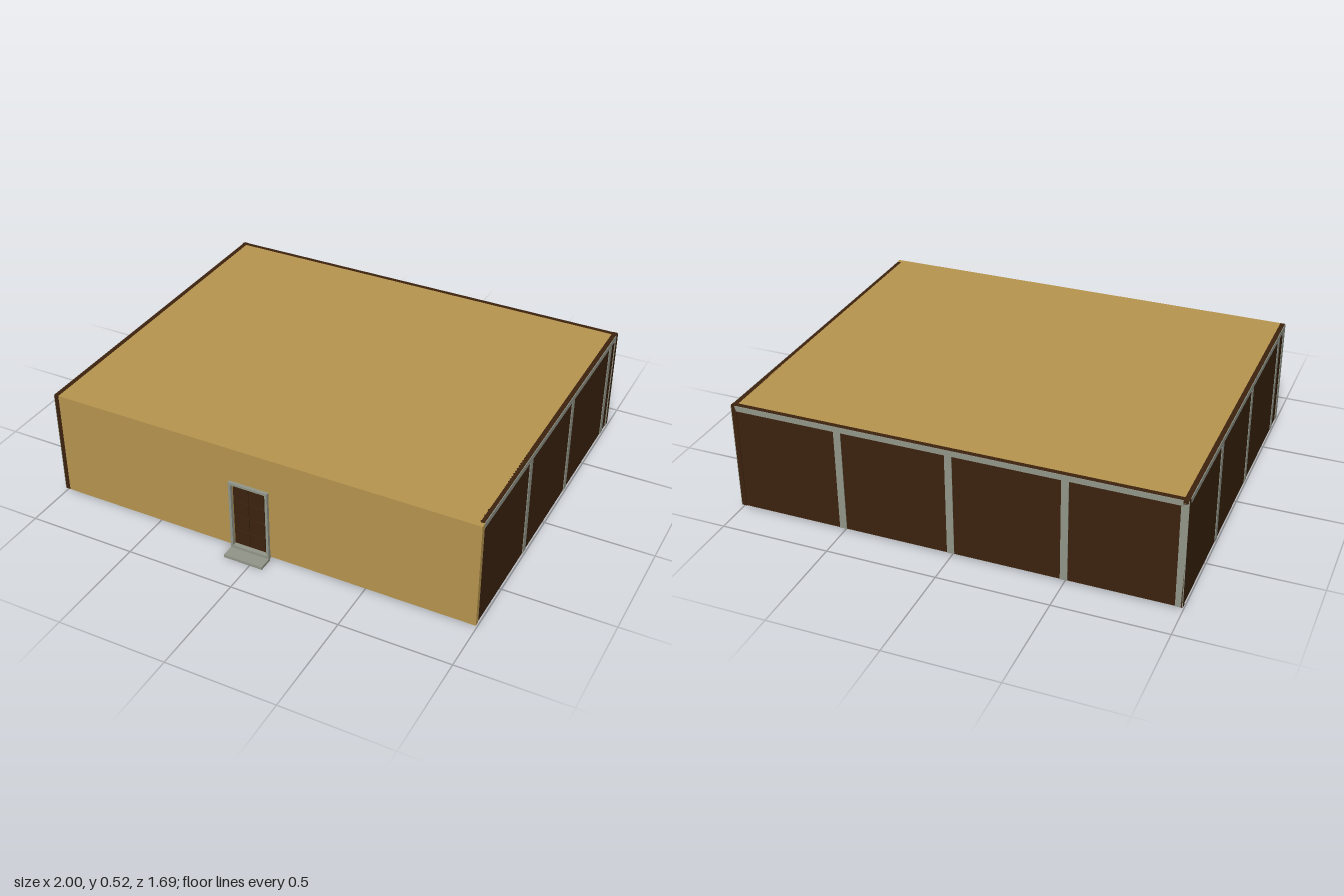
import * as THREE from 'three';

const tan = new THREE.MeshStandardMaterial({ name: 'tan plaster', color: 0xb8954f });
const brown = new THREE.MeshStandardMaterial({ name: 'dark brown wood', color: 0x3c220e });
const grey = new THREE.MeshStandardMaterial({ name: 'grey trim', color: 0x929689 });

const Y0 = 0.018, Y1 = 0.518;          // wall bottom and top
const BACK = -0.847, FRONT = 0.772;    // wall depth limits
const T = 0.024, PLATE = 0.003;        // wall and trim thickness

// Box given by its two opposite corners
function box(parent, name, material, a, b) {
  const size = a.map((v, i) => Math.abs(b[i] - v));
  const mesh = new THREE.Mesh(new THREE.BoxGeometry(...size), material);
  mesh.position.set(...a.map((v, i) => (v + b[i]) / 2));
  mesh.name = name;
  parent.add(mesh);
  return mesh;
}

// Panelled wall running along +x from its origin, outer face towards +z
function panelWall(name, length) {
  const wall = new THREE.Group();
  wall.name = name;
  box(wall, 'wallPanel', brown, [0, Y0, -T], [length, Y1, -PLATE]);
  box(wall, 'topRail', grey, [0, Y1 - 0.026, -PLATE], [length, Y1 - 0.001, 0]);
  const post = (x) =>
    box(wall, 'post', grey, [x - 0.016, Y0, -PLATE], [x + 0.016, Y1 - 0.026, 0]);
  for (let x = 0.5; x < length - 0.05; x += 0.5) post(x);
  post(length - 0.016);
  return wall;
}

export function createModel() {
  const model = new THREE.Group();
  model.name = 'building';

  // Three panelled walls
  const right = panelWall('sideWall', FRONT - T - BACK);
  right.position.set(1, 0, FRONT - T);
  right.rotation.y = Math.PI / 2;
  const back = panelWall('backWall', 2);
  back.position.set(1, 0, BACK);
  back.rotation.y = Math.PI;
  const left = panelWall('otherSideWall', FRONT - BACK);
  left.position.set(-1, 0, BACK);
  left.rotation.y = -Math.PI / 2;
  model.add(right, back, left);

  // Front wall with the doorway cut out
  const dx0 = -0.125, dx1 = 0.06, dTop = 0.355, trim = 0.011;
  const shape = new THREE.Shape([
    [-1 + T, Y0], [dx0 + trim, Y0], [dx0 + trim, dTop - trim], [dx1 - trim, dTop - trim],
    [dx1 - trim, Y0], [1, Y0], [1, Y1], [-1 + T, Y1],
  ].map(([x, y]) => new THREE.Vector2(x, y)));
  const front = new THREE.Mesh(
    new THREE.ExtrudeGeometry(shape, { depth: T, bevelEnabled: false }), tan);
  front.position.z = FRONT - T;
  front.name = 'frontWall';
  model.add(front);

  // Flat roof set between the walls
  box(model, 'roof', tan, [-1 + T, Y1 - 0.02, BACK + T], [1 - T + 0.004, Y1, FRONT - T]);

  // Door frame, threshold and step
  const door = new THREE.Group();
  door.name = 'door';
  model.add(door);
  const zf = 0.787;
  box(door, 'frameSide', grey, [dx0, Y0, FRONT], [dx0 + trim, dTop, zf]);
  box(door, 'frameSide', grey, [dx1 - trim, Y0, FRONT], [dx1, dTop, zf]);
  box(door, 'frameTop', grey, [dx0 + trim, dTop - trim, FRONT], [dx1 - trim, dTop, zf]);
  box(door, 'threshold', grey, [dx0, 0.01, 0.757], [dx1, 0.026, zf]);
  box(door, 'step', grey, [dx0, 0, 0.777], [dx1, 0.013, 0.847]);

  // Door leaf with raised panels and a knob
  const lx0 = dx0 + trim, lx1 = dx1 - trim, ly0 = 0.026, ly1 = dTop - trim;
  box(door, 'doorLeaf', brown, [lx0, ly0, FRONT - T], [lx1, ly1, 0.766]);
  const cols = 2, rows = 4, gap = 0.014;
  const w = (lx1 - lx0 - gap * (cols + 1)) / cols;
  const h = (ly1 - ly0 - gap * (rows + 1)) / rows;
  for (let c = 0; c < cols; c++) {
    for (let r = 0; r < rows; r++) {
      const x = lx0 + gap + c * (w + gap), y = ly0 + gap + r * (h + gap);
      box(door, 'doorPanel', brown, [x, y, 0.766], [x + w, y + h, 0.771]);
    }
  }
  const knob = new THREE.Mesh(new THREE.SphereGeometry(0.006, 12, 8), brown);
  knob.position.set(lx1 - 0.01, 0.175, 0.772);
  knob.name = 'doorKnob';
  door.add(knob);

  return model;
}
